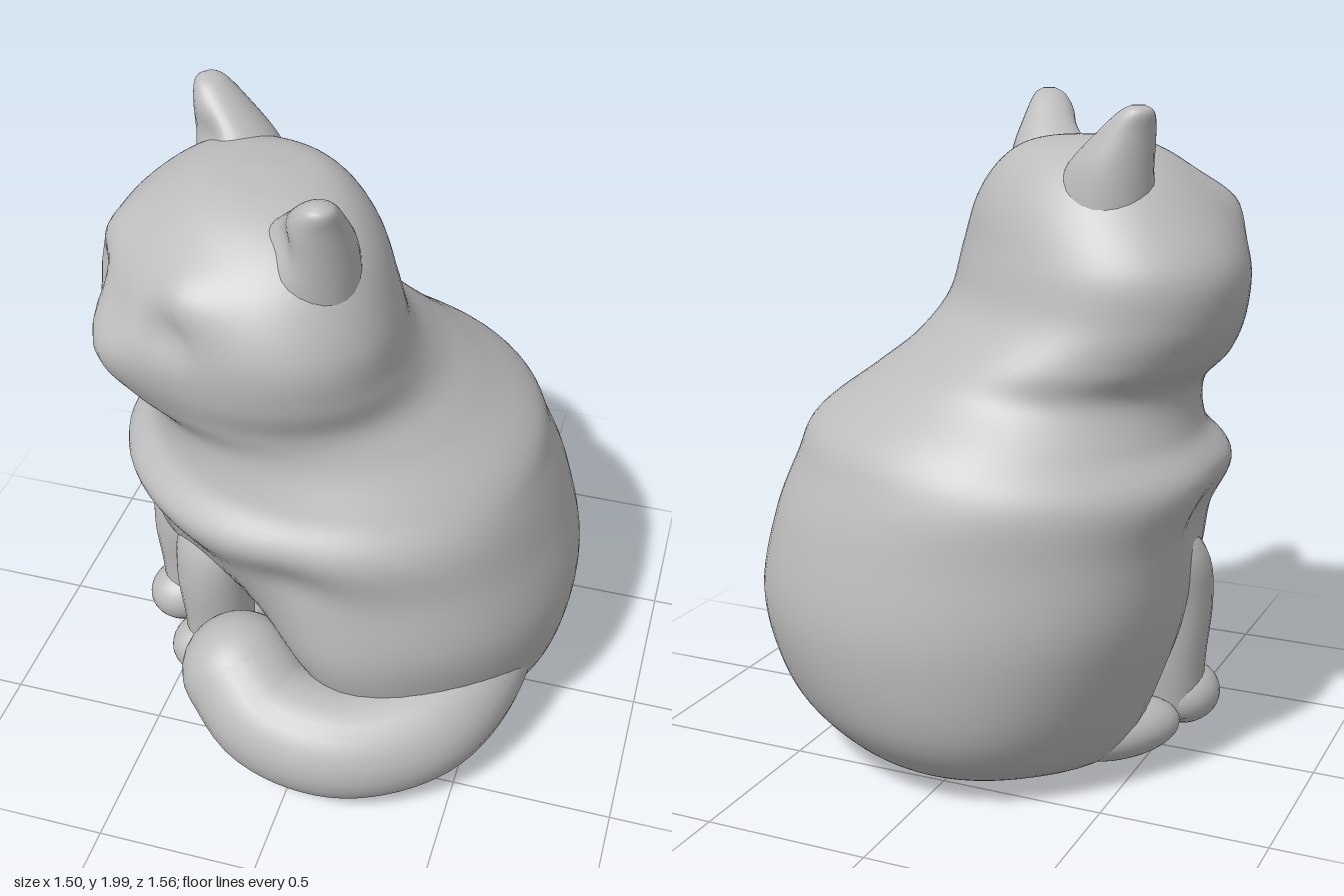
import * as THREE from 'three';

const fur = new THREE.MeshStandardMaterial({ color: 0xbcbcbc });
fur.name = 'plain grey';

// Smooth skin over ellipse rings, each [y, x, z, radiusX, radiusZ], from bottom to top.
function loft(rings, steps, sides) {
  const path = new THREE.CatmullRomCurve3(rings.map(r => new THREE.Vector3(r[1], r[0], r[2])), false, 'catmullrom', 0.5);
  const size = new THREE.CatmullRomCurve3(rings.map(r => new THREE.Vector3(r[3], r[4], 0)), false, 'catmullrom', 0.5);
  const pos = [], index = [];
  for (let i = 0; i <= steps; i++) {
    const c = path.getPoint(i / steps), r = size.getPoint(i / steps);
    for (let j = 0; j < sides; j++) {
      const a = (j / sides) * Math.PI * 2;
      pos.push(c.x + r.x * Math.sin(a), c.y, c.z + r.y * Math.cos(a));
    }
  }
  for (let i = 0; i < steps; i++) {
    for (let j = 0; j < sides; j++) {
      const a = i * sides + j, b = i * sides + ((j + 1) % sides);
      index.push(a, b, a + sides, b, b + sides, a + sides);
    }
  }
  // end caps
  const low = pos.length / 3, high = low + 1, top = steps * sides;
  const first = rings[0], last = rings[rings.length - 1];
  pos.push(first[1], first[0], first[2], last[1], last[0], last[2]);
  for (let j = 0; j < sides; j++) {
    const k = (j + 1) % sides;
    index.push(low, k, j, high, top + j, top + k);
  }
  const g = new THREE.BufferGeometry();
  g.setAttribute('position', new THREE.Float32BufferAttribute(pos, 3));
  g.setIndex(index);
  g.computeVertexNormals();
  return g;
}

// Push soft bumps and dents into a skin, each { at, push, reach }.
function sculpt(geometry, bumps) {
  const p = geometry.attributes.position;
  const v = new THREE.Vector3(), moved = new THREE.Vector3(), at = new THREE.Vector3(), push = new THREE.Vector3();
  for (let i = 0; i < p.count; i++) {
    v.fromBufferAttribute(p, i);
    moved.copy(v);
    for (const b of bumps) {
      const d = v.distanceTo(at.set(...b.at)) / b.reach;
      moved.addScaledVector(push.set(...b.push), Math.exp(-d * d));
    }
    p.setXYZ(i, moved.x, moved.y, moved.z);
  }
  geometry.computeVertexNormals();
  return geometry;
}

export function createModel() {
  const model = new THREE.Group();
  model.name = 'sittingCat';
  // Inside this group the cat faces +z; it sits turned on the diagonal.
  const cat = new THREE.Group();
  cat.name = 'cat';
  cat.rotation.y = -Math.PI / 4;
  model.add(cat);

  const add = (name, geometry) => {
    const mesh = new THREE.Mesh(geometry, fur);
    mesh.name = name;
    cat.add(mesh);
    return mesh;
  };
  const blob = (name, x, y, z, rx, ry, rz) => {
    const mesh = add(name, new THREE.SphereGeometry(1, 28, 18));
    mesh.position.set(x, y, z);
    mesh.scale.set(rx, ry, rz);
  };

  // Rump, chest, neck and head in one skin
  const mid = -0.09;
  const skin = loft([
    [0.015, -0.02, -0.25, 0.2, 0.1],
    [0.035, -0.02, -0.25, 0.38, 0.23],
    [0.1, -0.02, -0.24, 0.53, 0.36],
    [0.25, -0.02, -0.25, 0.62, 0.47],
    [0.5, -0.02, -0.2, 0.66, 0.585],
    [0.75, -0.035, -0.1, 0.66, 0.645],
    [0.93, -0.05, -0.01, 0.67, 0.665],
    [1.05, -0.045, -0.02, 0.605, 0.595],
    [1.18, -0.07, 0.06, 0.52, 0.505],
    [1.28, -0.12, 0.15, 0.515, 0.475],
    [1.4, -0.13, 0.22, 0.54, 0.43],
    [1.55, -0.13, 0.245, 0.535, 0.405],
    [1.7, -0.117, 0.24, 0.435, 0.36],
    [1.81, -0.115, 0.215, 0.31, 0.27],
    [1.87, -0.115, 0.2, 0.18, 0.17],
    [1.89, -0.115, 0.2, 0.03, 0.03],
  ], 100, 72);
  const bumps = [
    { at: [mid, 1.46, 0.64], push: [0, 0, 0.1], reach: 0.17 }, // muzzle
    { at: [mid, 1.57, 0.67], push: [0, 0, -0.03], reach: 0.08 }, // bridge of nose
    { at: [-0.22, 0.62, 0.42], push: [0, 0, 0.08], reach: 0.2 }, // breast above the front legs
  ];
  for (const m of [1, -1]) {
    bumps.push(
      { at: [m * 0.43, 0.4, 0.2], push: [m * 0.02, 0, 0.13], reach: 0.28 }, // haunch
      { at: [m * 0.65, 0.55, 0], push: [m * 0.07, 0, 0], reach: 0.35 }, // hip
      { at: [m * 0.46, 0.12, 0.02], push: [m * 0.03, -0.04, 0.12], reach: 0.22 }, // heel
      { at: [m * 0.42 - 0.05, 0.84, 0.38], push: [-m * 0.03, 0, -0.03], reach: 0.12 }, // fold above haunch
      { at: [mid + m * 0.22, 1.68, 0.56], push: [0, 0.01, 0.03], reach: 0.1 }, // brow
      { at: [mid + m * 0.2, 1.57, 0.61], push: [0, 0, -0.035], reach: 0.07 }, // closed eye
      { at: [mid + m * 0.27, 1.68, 0.19], push: [m * 0.03, 0.03, 0], reach: 0.14 }, // ear root
    );
  }
  add('bodyAndHead', sculpt(skin, bumps));

  // Hind paws
  blob('leftHindPaw', 0.4, 0.13, 0.18, 0.11, 0.09, 0.2);
  blob('rightHindPaw', -0.44, 0.135, 0.16, 0.12, 0.095, 0.22);

  // Front legs and paws
  for (const [side, x, z] of [['left', -0.08, 0.44], ['right', -0.35, 0.4]]) {
    add(side + 'FrontLeg', loft([
      [0.12, x, z, 0.09, 0.1],
      [0.3, x, z - 0.01, 0.11, 0.115],
      [0.5, x, z, 0.13, 0.12],
      [0.66, x, z - 0.03, 0.14, 0.12],
      [0.82, x + 0.02, z - 0.14, 0.1, 0.1],
    ], 20, 24));
    blob(side + 'FrontPaw', x, 0.175, z + 0.04, 0.11, 0.1, 0.12);
  }

  // Tail wrapped forward around the left side
  const tailPath = new THREE.CatmullRomCurve3([
    [0.2, 0.38, -0.4], [0.4, 0.32, -0.28], [0.53, 0.26, -0.12], [0.585, 0.215, 0.07],
    [0.515, 0.195, 0.305], [0.345, 0.225, 0.455], [0.2, 0.305, 0.49],
  ].map(p => new THREE.Vector3(...p)));
  add('tail', new THREE.TubeGeometry(tailPath, 44, 0.187, 24, false));
  blob('tailTip', 0.2, 0.305, 0.49, 0.187, 0.187, 0.187);

  // Ears with a hollow in front, the left one a little further forward
  for (const [side, m] of [['left', 1], ['right', -1]]) {
    const z = 0.19 + m * 0.035;
    const ear = loft([
      [1.55, mid + m * 0.23, z - 0.02, 0.19, 0.16],
      [1.7, mid + m * 0.255, z - 0.01, 0.175, 0.15],
      [1.82, mid + m * 0.295, z, 0.14, 0.13],
      [1.92, mid + m * 0.355, z + 0.015, 0.085, 0.085],
      [1.98, mid + m * 0.395, z + 0.025, 0.05, 0.05],
      [2.0, mid + m * 0.405, z + 0.025, 0.015, 0.02],
    ], 28, 28);
    add(side + 'Ear', sculpt(ear, [
      { at: [mid + m * 0.3, 1.84, z + 0.12], push: [0, 0, -0.05], reach: 0.075 },
    ]));
  }

  return model;
}
